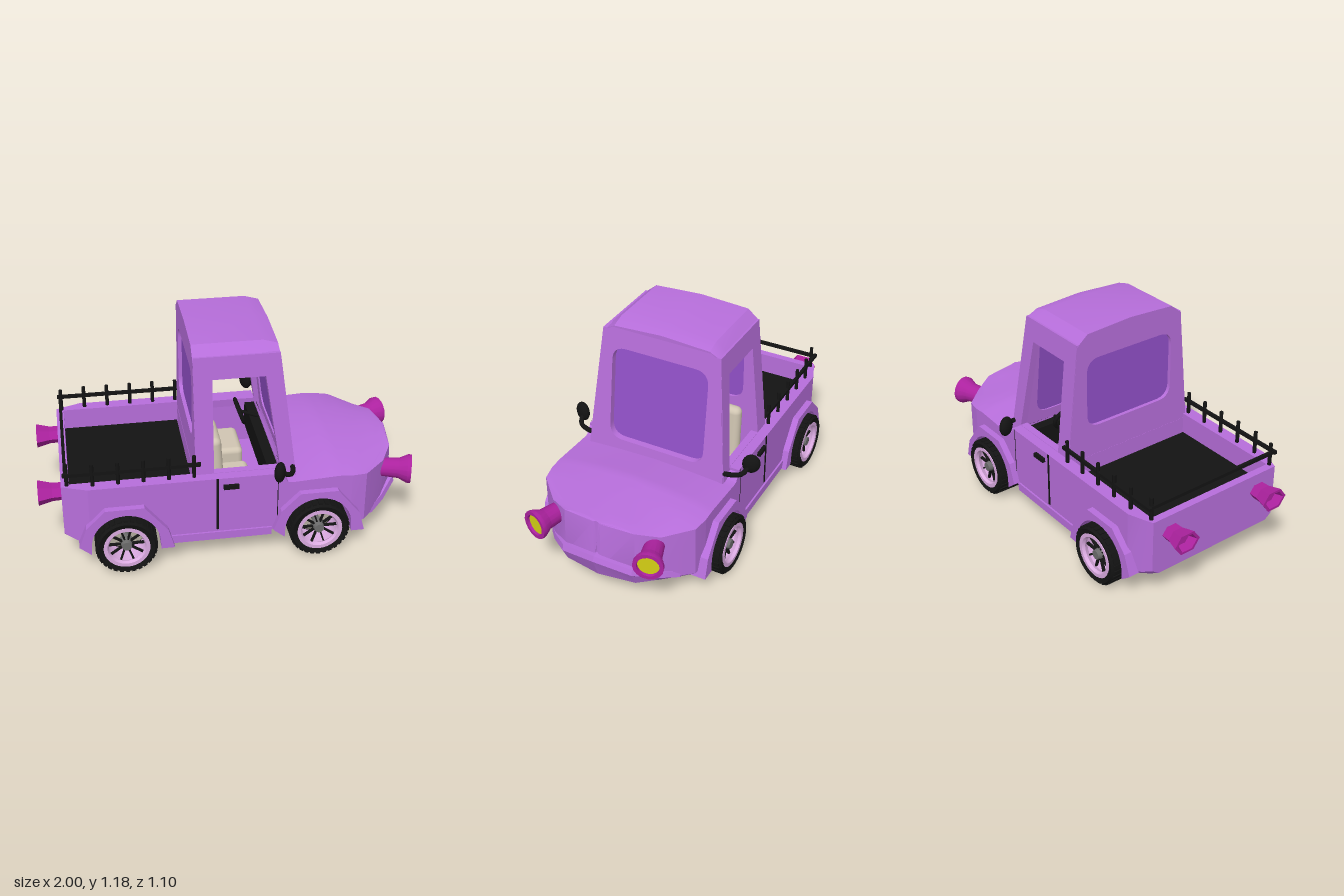
import * as THREE from 'three';
import { toCreasedNormals } from 'three/addons/utils/BufferGeometryUtils.js';
import { RoundedBoxGeometry } from 'three/addons/geometries/RoundedBoxGeometry.js';

const mat = (name, color, side = THREE.FrontSide) => {
  const m = new THREE.MeshStandardMaterial({ color, side });
  m.name = name;
  return m;
};

// Closed skin through equal-length rings of [x, y, z], wound outwards
function loft(rings, crease = 0.45) {
  const n = rings[0].length, tris = [];
  const tri = (a, b, c) => tris.push([a, b, c]);
  for (let i = 0; i + 1 < rings.length; i++) for (let j = 0; j < n; j++) {
    const k = (j + 1) % n, a = rings[i], b = rings[i + 1];
    tri(a[j], a[k], b[k]);
    tri(a[j], b[k], b[j]);
  }
  for (const [ring, flip] of [[rings[0], true], [rings[rings.length - 1], false]]) {
    const c = [0, 1, 2].map(q => ring.reduce((s, p) => s + p[q], 0) / n);
    for (let j = 0; j < n; j++) {
      const p = ring[j], r = ring[(j + 1) % n];
      flip ? tri(c, r, p) : tri(c, p, r);
    }
  }
  const v = p => new THREE.Vector3(...p);
  const volume = tris.reduce((s, t) => s + v(t[0]).dot(v(t[1]).cross(v(t[2]))), 0);
  const pos = tris.flatMap(t => (volume < 0 ? [t[0], t[2], t[1]] : t).flat());
  const g = new THREE.BufferGeometry();
  g.setAttribute('position', new THREE.Float32BufferAttribute(pos, 3));
  return toCreasedNormals(g, crease);
}

// Extruded shape whose vertices are moved by rule(x, y, depth)
function panel(shape, depth, rule, steps = 1) {
  const g = new THREE.ExtrudeGeometry(shape, { depth, steps, bevelEnabled: false, curveSegments: 10 });
  const p = g.attributes.position;
  for (let i = 0; i < p.count; i++) p.setXYZ(i, ...rule(p.getX(i), p.getY(i), p.getZ(i)));
  return toCreasedNormals(g, 0.4);
}
const poly = pts => new THREE.Shape(pts.map(p => new THREE.Vector2(...p)));

function roundedWindow(w, y0, y1, r, Type) {
  const s = new Type();
  s.moveTo(-w + r, y0).lineTo(w - r, y0).quadraticCurveTo(w, y0, w, y0 + r);
  s.lineTo(w, y1 - r).quadraticCurveTo(w, y1, w - r, y1).lineTo(-w + r, y1);
  s.quadraticCurveTo(-w, y1, -w, y1 - r).lineTo(-w, y0 + r).quadraticCurveTo(-w, y0, -w + r, y0);
  return s;
}

const lerpTable = (t, x) => {
  let i = 0;
  while (i < t.length - 2 && x > t[i + 1][0]) i++;
  const [a, b] = [t[i], t[i + 1]], f = Math.min(1, Math.max(0, (x - a[0]) / (b[0] - a[0])));
  return a[1] + (b[1] - a[1]) * f;
};
const WIDTH = [[-0.88, 0.4], [-0.76, 0.45], [0.62, 0.45], [0.7, 0.435], [0.83, 0.31], [0.92, 0.2], [0.955, 0.02]];
const CROWN = [[0.25, 0.47], [0.28, 0.445], [0.55, 0.49], [0.95, 0.465]];
const SHOULDER = [[0.25, 0.47], [0.28, 0.425], [0.55, 0.44], [0.83, 0.42], [0.955, 0.455]];
const AXLES = [-0.57, 0.44];

// One cross-section of the lower body at x, with underside height b
function section(x, b, kind) {
  const w = lerpTable(WIDTH, x), hood = kind === 'hood';
  const s = hood ? lerpTable(SHOULDER, x) : 0.485, c = lerpTable(CROWN, x);
  const floor = { tail: 0.485, bed: 0.36, cab: 0.2 }[kind];
  const inner = Math.min(0.38, w - 0.03);
  const half = [[0, b], [w * 0.9, b], [w, b + 0.03], [w, s]];
  if (hood) half.push([w * 0.8, s + (c - s) * 0.4], [w * 0.45, s + (c - s) * 0.75], [0, c]);
  else half.push([inner, 0.485], [inner, floor], [0, floor]);
  const ring = [...half, ...half.slice(1, -1).reverse().map(([z, y]) => [-z, y])];
  const lean = Math.max(0, x - 0.8) / 0.15;
  return ring.map(([z, y]) => [x - lean * (y > 0.24 ? (y - 0.24) * 0.2 : (0.24 - y) * 0.4), y, z]);
}

export function createModel() {
  const car = new THREE.Group();
  const paint = mat('purplePaint', 0xb76edb), glass = mat('violetGlass', 0x9150c8, THREE.DoubleSide);
  const black = mat('blackTrim', 0x131313), magenta = mat('magentaLampShell', 0xac229f, THREE.DoubleSide);
  const yellow = mat('yellowLens', 0xd3cf14), rimMat = mat('pinkRim', 0xdcabe2, THREE.DoubleSide);
  const grey = mat('greyMetal', 0x6c6c6c), beige = mat('beigeSeat', 0xd0c5b2);
  const add = (name, geo, m, x = 0, y = 0, z = 0, parent = car) => {
    const mesh = new THREE.Mesh(geo, m);
    mesh.name = name;
    mesh.position.set(x, y, z);
    parent.add(mesh);
    return mesh;
  };
  const box = (name, w, h, d, m, x, y, z) => add(name, new THREE.BoxGeometry(w, h, d), m, x, y, z);

  // Lower body with open bed, cabin well, hood and wheel arches
  const arch = (cx, kind) => Array.from({ length: 15 }, (_, i) => {
    const a = Math.PI * (1 - i / 14);
    return section(cx + 0.18 * Math.cos(a), 0.155 + 0.18 * Math.sin(a), kind);
  });
  add('body', loft([
    section(-0.88, 0.17, 'tail'), section(-0.84, 0.15, 'tail'), section(-0.84, 0.15, 'bed'),
    section(-0.75, 0.11, 'bed'), ...arch(AXLES[0], 'bed'), section(-0.39, 0.11, 'bed'),
    section(-0.2, 0.11, 'bed'), section(-0.2, 0.11, 'cab'), section(0.245, 0.11, 'cab'),
    section(0.245, 0.11, 'hood'), section(0.26, 0.11, 'hood'), ...arch(AXLES[1], 'hood'),
    section(0.62, 0.11, 'hood'), section(0.7, 0.11, 'hood'), section(0.83, 0.125, 'hood'),
    section(0.92, 0.145, 'hood'), section(0.955, 0.15, 'hood'),
  ]), paint);
  box('bedFloor', 0.64, 0.008, 0.76, black, -0.52, 0.364, 0);

  // Front bumper lip
  const lip = [[0.38, 0.75, 0.17], [0.31, 0.83, 0.2], [0.2, 0.92, 0.24], [0, 0.95, 0.27]];
  const lipRows = [...lip, ...lip.slice(0, 3).reverse().map(([z, x, y]) => [-z, x, y])];
  add('frontBumper', loft(lipRows.map(([z, x, y]) => [
    [x - 0.07, y, z], [x, y, z], [x + 0.01, y - 0.03, z], [x - 0.03, 0.13, z], [x - 0.1, 0.13, z]]), 0.2), paint);

  // Cabin shell
  const halfWidth = y => 0.4 - (y - 0.44) * 0.097;
  const frontX = y => 0.24 + (1.15 - y) * 0.125;
  const sideShape = () => {
    const s = poly([[-0.195, 0.44], [0.325, 0.44], [0.243, 1.12], [-0.195, 1.12]]);
    s.holes.push(new THREE.Path([[-0.1, 0.487], [-0.1, 1], [0.17, 1], [0.245, 0.487]].map(p => new THREE.Vector2(...p))));
    return s;
  };
  add('cabinSide', panel(sideShape(), 0.04, (x, y, d) => [x, y, halfWidth(y) - 0.04 + d]), paint);
  add('cabinSide', panel(sideShape(), 0.04, (x, y, d) => [x, y, -halfWidth(y) + d]), paint);
  const wall = (bottom, y0, y1) => {
    const b = halfWidth(bottom) - 0.003;
    const s = poly([[-b, bottom], [b, bottom], [0.333, 1.1], [0.27, 1.14], [-0.27, 1.14], [-0.333, 1.1]]);
    s.holes.push(roundedWindow(0.275, y0, y1, 0.08, THREE.Path));
    return s;
  };
  add('windshieldFrame', panel(wall(0.42, 0.505, 1.03), 0.05, (z, y, d) => [frontX(y) - d, y, z]), paint);
  add('cabinBack', panel(wall(0.44, 0.63, 1.02), 0.04, (z, y, d) => [-0.156 - d, y, z]), paint);
  box('cabinBulkhead', 0.04, 0.26, 0.76, paint, -0.177, 0.33, 0);
  add('windshield', panel(roundedWindow(0.28, 0.5, 1.035, 0.08, THREE.Shape), 0.006,
    (z, y, d) => [frontX(y) - 0.035 - d, y, z]), glass);
  add('rearWindow', panel(roundedWindow(0.28, 0.625, 1.025, 0.08, THREE.Shape), 0.006,
    (z, y, d) => [-0.17 - d, y, z]), glass);
  const roofX = [0.242, 0.165, -0.197];
  add('roof', panel(poly([[-0.337, 1.08], [0.337, 1.08], [0.335, 1.11], [0.27, 1.165], [0, 1.18], [-0.27, 1.165], [-0.335, 1.11]]),
    2, (z, y, d) => [roofX[Math.round(d)], d < 0.5 && y > 1.12 ? y - 0.022 : y, z], 2), paint);

  // Cabin interior
  box('dashboard', 0.07, 0.14, 0.72, black, 0.225, 0.39, 0);
  for (const z of [-0.18, 0.18]) {
    add('seatCushion', new RoundedBoxGeometry(0.24, 0.12, 0.26, 3, 0.03), beige, 0.01, 0.28, z);
    add('seatBack', new RoundedBoxGeometry(0.07, 0.38, 0.25, 3, 0.034), beige, -0.07, 0.435, z).rotation.z = 0.06;
  }
  const steering = add('steeringWheel', new THREE.TorusGeometry(0.07, 0.011, 8, 24), black, 0.13, 0.51, -0.18);
  steering.rotation.set(0, Math.PI / 2, 0.35, 'ZYX');
  add('steeringColumn', new THREE.CylinderGeometry(0.01, 0.01, 0.12, 8), black, 0.18, 0.49, -0.18).rotation.z = 1.2;

  // Bed railing
  for (const z of [-0.41, 0.41]) {
    for (let i = 0; i < 6; i++)
      add('railPost', new THREE.CylinderGeometry(0.01, 0.01, 0.13, 8), black, -0.85 + i * 0.129, 0.545, z * (i ? 1 : 0.95));
    box('sideRail', 0.7, 0.018, 0.016, black, -0.52, 0.557, z);
  }
  box('rearRail', 0.016, 0.018, 0.82, black, -0.855, 0.557, 0);

  // Parts repeated on both sides
  for (const s of [-1, 1]) {
    for (const cx of AXLES) {
      const flare = poly([[cx - 0.24, 0.16], [cx - 0.18, 0.11]]);
      flare.absarc(cx, 0.155, 0.178, Math.PI, 0, true);
      for (const [x, y] of [[0.18, 0.11], [0.25, 0.11], [0.22, 0.22], [0.1, 0.37], [-0.1, 0.37], [-0.2, 0.27]])
        flare.lineTo(cx + x, y);
      add('fenderFlare', panel(flare, 0.08, (x, y, d) => [x, y, s > 0 ? 0.405 + d : -0.485 + d]), paint);
    }
    box('sill', 0.53, 0.045, 0.05, paint, -0.07, 0.14, s * 0.435);
    box('doorSeam', 0.012, 0.31, 0.006, black, -0.09, 0.33, s * 0.45);
    box('doorSeamFront', 0.004, 0.31, 0.004, black, 0.225, 0.33, s * 0.449);
    box('doorHandle', 0.08, 0.022, 0.02, black, -0.02, 0.437, s * 0.458);

    // Mirror on a bent arm
    const path = new THREE.CatmullRomCurve3([[0.31, 0.485, 0.36], [0.305, 0.49, 0.43], [0.28, 0.495, 0.48], [0.23, 0.52, 0.5]]
      .map(([x, y, z]) => new THREE.Vector3(x, y, s * z)));
    add('mirrorArm', new THREE.TubeGeometry(path, 12, 0.013, 8), black);
    const mirror = add('mirror', new THREE.SphereGeometry(0.052, 14, 10), black, 0.22, 0.53, s * 0.505);
    mirror.scale.set(0.55, 1.05, 0.92);
    mirror.rotation.y = -s * 0.4;

    // Flared headlight
    const lamp = new THREE.Group();
    lamp.name = 'headlight';
    lamp.position.set(0.82, 0.36, s * 0.275);
    lamp.rotation.set(0, -s * 0.3, -Math.PI / 2, 'YZX');
    car.add(lamp);
    const horn = [[0, 0], [0.05, 0], [0.056, 0.1], [0.078, 0.145], [0.078, 0.165], [0.058, 0.165], [0.054, 0.14]];
    add('lampShell', toCreasedNormals(new THREE.LatheGeometry(horn.map(p => new THREE.Vector2(...p)), 16), 0.5), magenta, 0, 0, 0, lamp);
    add('lampLens', new THREE.CylinderGeometry(0.057, 0.057, 0.006, 16), yellow, 0, 0.148, 0, lamp);

    // Faceted tail lamp
    const tail = [[0, 0], [0.05, 0], [0.052, 0.06], [0.072, 0.13], [0.056, 0.13], [0.04, 0.09], [0, 0.09]];
    const shell = add('tailLamp', toCreasedNormals(new THREE.LatheGeometry(tail.map(p => new THREE.Vector2(...p)), 6), 0.2),
      magenta, -0.865, 0.388, s * 0.288);
    shell.rotation.z = Math.PI / 2;
    shell.scale.set(0.85, 1.03, 1.08);
  }

  // Wheels and axles
  const tyre = [[0.118, -0.085], [0.145, -0.095], [0.155, -0.08], [0.155, 0.08], [0.145, 0.095], [0.118, 0.085], [0.118, -0.085]];
  const rim = [[0.12, -0.08], [0.108, -0.06], [0.108, 0.05], [0.092, 0.075], [0.1, 0.09], [0.12, 0.09]];
  const turned = (pts, n) => toCreasedNormals(new THREE.LatheGeometry(pts.map(p => new THREE.Vector2(...p)), n), 0.5).rotateX(Math.PI / 2);
  for (const cx of AXLES) {
    for (const s of [-1, 1]) {
      const wheel = new THREE.Group();
      wheel.name = 'wheel';
      wheel.position.set(cx, 0.16, s * 0.43);
      if (s < 0) wheel.rotation.y = Math.PI;
      car.add(wheel);
      add('tyre', turned(tyre, 36), black, 0, 0, 0, wheel);
      add('rim', turned(rim, 32), rimMat, 0, 0, 0, wheel);
      add('hub', new THREE.CylinderGeometry(0.025, 0.036, 0.06, 12).rotateX(Math.PI / 2), grey, 0, 0, 0.05, wheel);
      for (let i = 0; i < 10; i++) {
        const a = i * Math.PI / 5;
        add('spoke', new THREE.BoxGeometry(0.08, 0.008, 0.016), black, Math.cos(a) * 0.066, Math.sin(a) * 0.066, 0.05, wheel).rotation.z = a;
      }
      for (let i = 0; i < 60; i++) {
        const a = (i >> 1) * Math.PI / 15 + (i & 1) * 0.1;
        add('treadBlock', new THREE.BoxGeometry(0.01, 0.02, 0.08), black,
          Math.cos(a) * 0.155, Math.sin(a) * 0.155, i & 1 ? 0.043 : -0.043, wheel).rotation.z = a;
      }
    }
    add('axle', new THREE.CylinderGeometry(0.02, 0.02, 0.88, 12).rotateX(Math.PI / 2), grey, cx, 0.16, 0);
    for (const z of [-0.26, -0.1, 0.1, 0.26])
      add('axleCollar', new THREE.CylinderGeometry(0.028, 0.028, 0.04, 12).rotateX(Math.PI / 2), grey, cx, 0.16, z);
  }
  return car;
}
